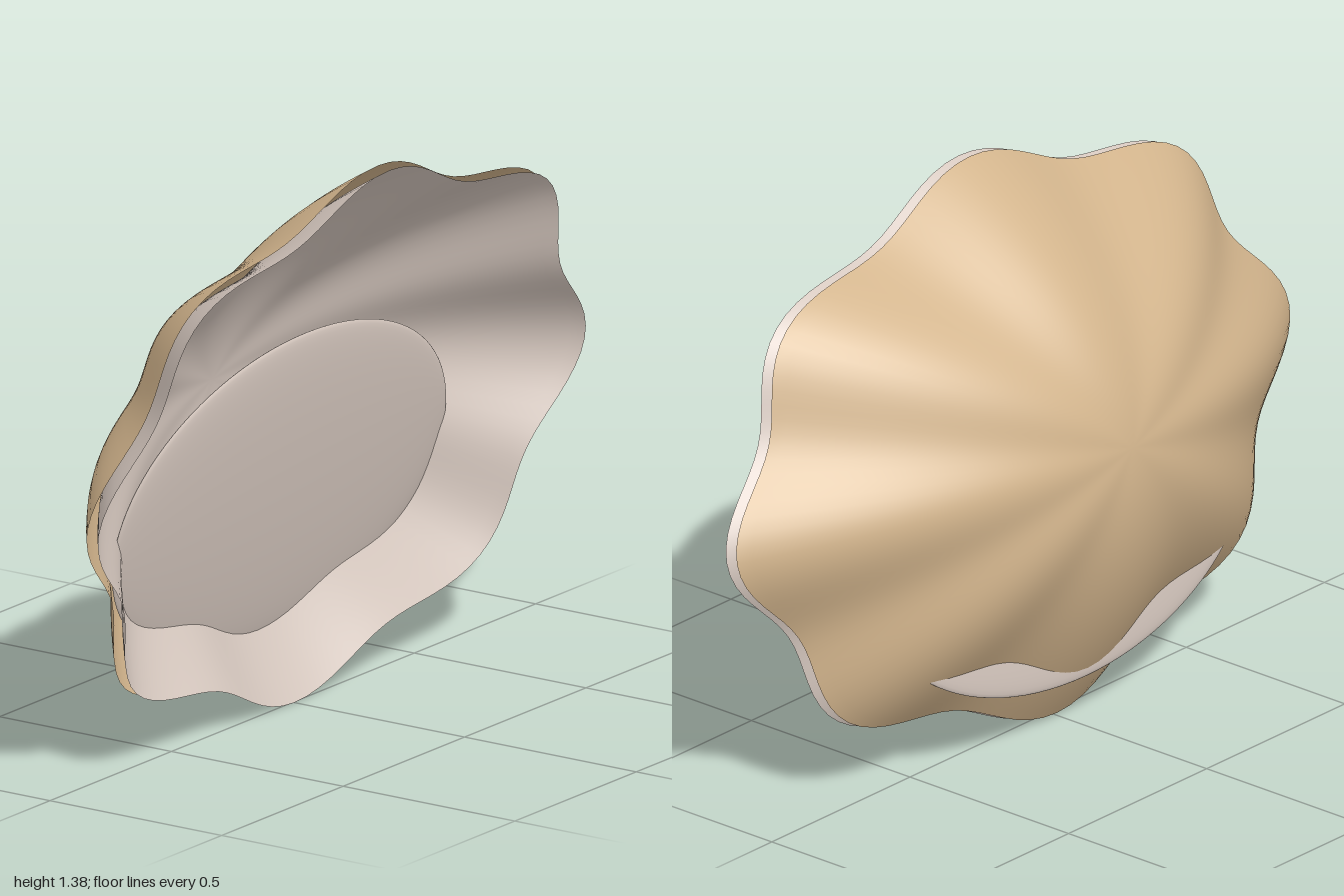
import * as THREE from 'three';
import { mergeVertices } from 'three/addons/utils/BufferGeometryUtils.js';

const DEPTH = 0.385; // depth of the bowl below its rim
const SQUASH = 0.698; // short side of the oval against the long side

// Parabolic bowl whose radius waves in eight lobes, opening towards +y
function scallopedShell() {
  const profile = [];
  for (let i = 0; i <= 32; i++) {
    const t = i / 32;
    profile.push(new THREE.Vector2(t, DEPTH * (t * t - 1)));
  }
  let geo = new THREE.LatheGeometry(profile, 128);
  const pos = geo.attributes.position;
  for (let i = 0; i < pos.count; i++) {
    const x = pos.getX(i), z = pos.getZ(i);
    const wave = 0.95 + 0.05 * Math.cos(8 * Math.atan2(z, x));
    pos.setX(i, x * wave);
    pos.setZ(i, z * wave * SQUASH);
  }
  // Weld the seam and centre so the shading is smooth all round
  geo.deleteAttribute('uv');
  geo.deleteAttribute('normal');
  geo = mergeVertices(geo, 1e-5);
  geo.computeVertexNormals();
  return geo;
}

export function createModel() {
  const tan = new THREE.MeshStandardMaterial({ color: 0xd2b48c, side: THREE.DoubleSide });
  tan.name = 'tan';
  const pale = new THREE.MeshStandardMaterial({ color: 0xd5c7be, side: THREE.DoubleSide });
  pale.name = 'pale pink grey';

  const bowl = new THREE.Group();
  bowl.name = 'scallopedBowl';
  const add = (name, geometry, material) => {
    const mesh = new THREE.Mesh(geometry, material);
    mesh.name = name;
    bowl.add(mesh);
    return mesh;
  };

  // Two matching shells, the lining set slightly forward
  const shell = scallopedShell();
  add('outerShell', shell, tan);
  add('innerLining', shell, pale).position.y = 0.0335;

  // Flat oval pad low in the bowl, its lower edge passing through the shells
  const pad = add('ovalPad', new THREE.SphereGeometry(1, 96, 32), pale);
  pad.scale.set(0.678, 0.03, 0.405);
  pad.position.set(0, -0.115, 0.19);

  // Stand the bowl on edge, facing forward and slightly down
  bowl.rotation.x = Math.PI / 2 + 0.199;
  bowl.position.set(0, 0.695, 0.11);

  const model = new THREE.Group();
  model.name = 'model';
  model.add(bowl);
  return model;
}
